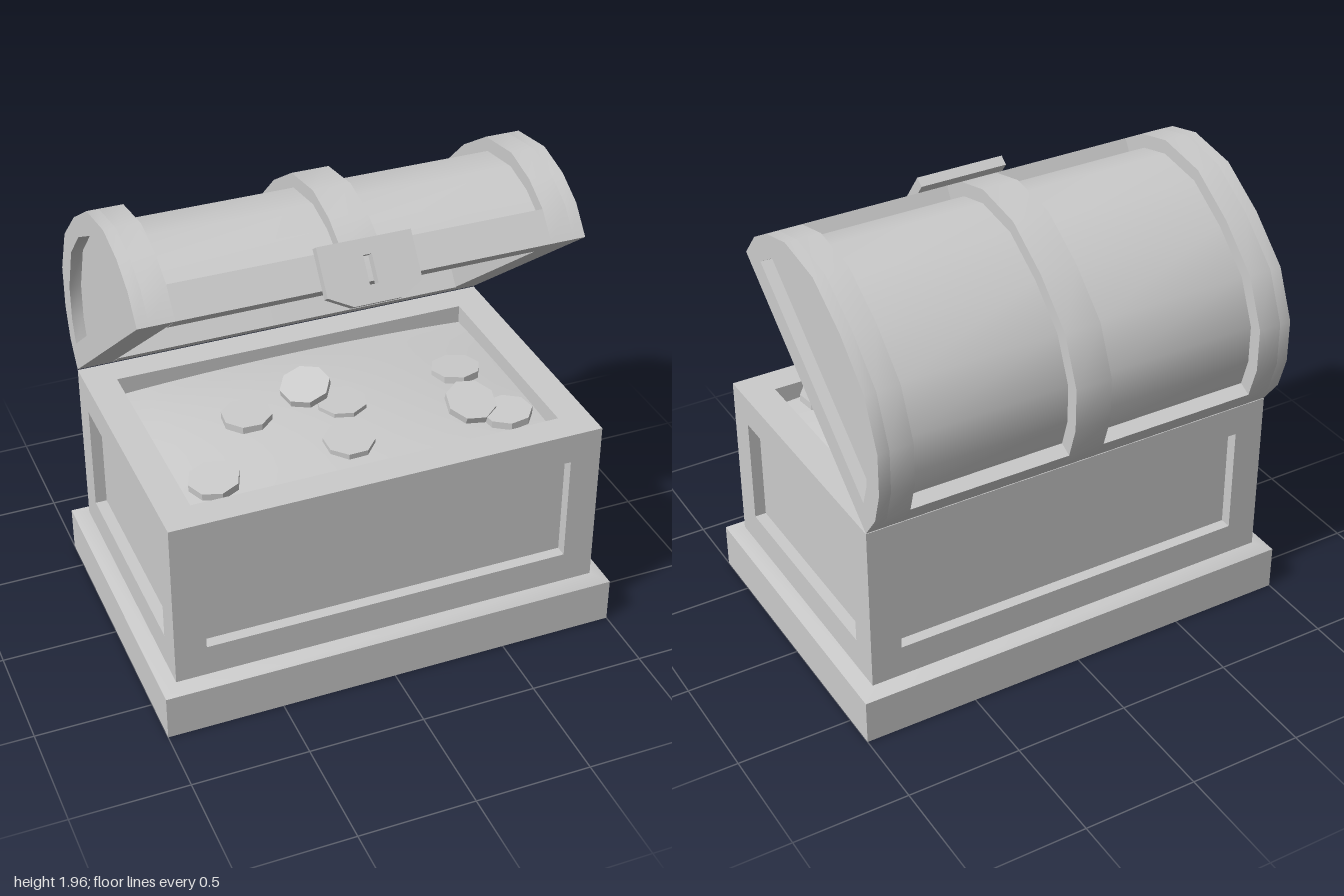
import * as THREE from 'three';
import { toCreasedNormals } from 'three/addons/utils/BufferGeometryUtils.js';

const material = new THREE.MeshStandardMaterial({ color: 0xcccccc });
const CZ = 0.03; // centre of the chest body in z

function add(parent, name, geometry, x = 0, y = 0, z = 0) {
  const mesh = new THREE.Mesh(geometry, material);
  mesh.name = name;
  mesh.position.set(x, y, z);
  parent.add(mesh);
  return mesh;
}

const polygon = (points) => new THREE.Shape(points.map(([x, y]) => new THREE.Vector2(x, y)));
const rect = (x0, y0, x1, y1) => polygon([[x0, y0], [x1, y0], [x1, y1], [x0, y1]]);

// Extrusion centred on its own depth
function slab(shape, depth, hole) {
  if (hole) shape.holes.push(hole);
  return new THREE.ExtrudeGeometry(shape, { depth, bevelEnabled: false }).translate(0, 0, -depth / 2);
}

// Slab of a (z, y) section running along x
const section = (points, width, hole) =>
  toCreasedNormals(slab(polygon(points), width, hole && polygon(hole)).rotateY(-Math.PI / 2), 0.6);

function buildBase(parent) {
  // Plinth with a shallow chamfer round its top
  const g = new THREE.BoxGeometry(2, 0.4, 1.36, 1, 2, 1);
  const p = g.attributes.position;
  for (let i = 0; i < p.count; i++) {
    const y = p.getY(i);
    if (y > 0.1) {
      p.setXYZ(i, Math.sign(p.getX(i)) * 0.935, 0.22, Math.sign(p.getZ(i)) * 0.615);
    } else {
      p.setY(i, y < -0.1 ? 0 : 0.2);
    }
  }
  add(parent, 'plinth', toCreasedNormals(g.toNonIndexed(), 0.6), 0, 0, CZ);
}

function buildBody(parent) {
  const depth = 0.05, y0 = 0.22, y1 = 0.975;
  // Walls around the open inside
  const walls = slab(rect(-0.885, -0.565, 0.885, 0.565), y1 - y0, rect(-0.8, -0.4825, 0.8, 0.4825));
  add(parent, 'walls', walls.rotateX(Math.PI / 2), 0, (y0 + y1) / 2, CZ);
  // Raised frames that leave a sunken panel on every side
  const frame = (w, hole) => slab(rect(-w, y0, w, y1), depth, rect(-hole, 0.36, hole, 0.84));
  for (const s of [1, -1]) {
    add(parent, s > 0 ? 'frontFrame' : 'backFrame', frame(0.935, 0.8), 0, 0, CZ + s * 0.59);
    add(parent, s > 0 ? 'leftFrame' : 'rightFrame', frame(0.565, 0.4825).rotateY(Math.PI / 2), s * 0.91, 0, CZ);
  }
}

const heapHeight = (x, z) =>
  0.885 + 0.08 * Math.cos(x / 0.8 * 1.45) ** 0.7 * Math.cos((z - CZ) / 0.485 * 1.3) ** 0.7;

function buildTreasure(parent) {
  // Low mound filling the chest
  const g = new THREE.PlaneGeometry(1.6, 0.965, 16, 12).rotateX(-Math.PI / 2);
  const p = g.attributes.position;
  for (let i = 0; i < p.count; i++) p.setY(i, heapHeight(p.getX(i), p.getZ(i) + CZ));
  g.computeVertexNormals();
  add(parent, 'treasureHeap', g, 0, 0, CZ);

  // Eight-sided coins: x, y, z, tilt about x, tilt about z
  const coins = [
    [-0.65, 0.95, 0.36, 0.06, 0.08], [-0.38, 0.965, 0, 0, 0.03], [-0.1, 1.01, -0.05, 0.05, 0.25],
    [0.02, 0.965, 0.06, 0, 0], [-0.05, 0.95, 0.31, 0.06, 0], [0.58, 0.95, -0.02, 0, -0.08],
    [0.5, 1.0, 0.3, 0.2, 0.12], [0.63, 0.965, 0.38, 0.06, -0.08],
  ];
  coins.forEach(([x, y, z, rx, rz], i) => {
    const disc = toCreasedNormals(new THREE.CylinderGeometry(0.108, 0.108, 0.032, 8), 0.6);
    add(parent, `coin${i + 1}`, disc, x, y, z).rotation.set(rx, i * 0.3, rz);
  });
}

function buildLid(parent) {
  // Outer arch, sunken barrel and end panel as (z, y), from front lip to hinge
  const arch = [[0.385, 1.735], [0.292, 1.845], [0.166, 1.917], [0, 1.957], [-0.233, 1.922], [-0.44, 1.79],
    [-0.62, 1.622], [-0.71, 1.415], [-0.71, 1.228], [-0.668, 1.088], [-0.585, 0.978]];
  const barrel = [[0.262, 1.795], [0.15, 1.86], [0, 1.896], [-0.212, 1.866], [-0.402, 1.745],
    [-0.567, 1.592], [-0.65, 1.402], [-0.65, 1.238], [-0.614, 1.115]];
  const panel = [[0.248, 1.756], [0.14, 1.822], [0, 1.856], [-0.2, 1.829], [-0.39, 1.725], [-0.533, 1.58],
    [-0.61, 1.373], [-0.61, 1.218], [-0.575, 1.114]];
  // Hollow cut into the underside, from hinge to lip
  const hollow = [[-0.463, 1.071], [-0.572, 1.211], [0.157, 1.78], [0.266, 1.64]];

  const sunken = [...arch.slice(0, 2), ...barrel, ...arch.slice(-2), ...hollow];
  add(parent, 'middleBand', section([...arch, ...hollow], 0.16));
  for (const s of [1, -1]) {
    const side = s > 0 ? 'left' : 'right';
    add(parent, `${side}Barrel`, section(sunken, 0.705), s * 0.4325);
    add(parent, `${side}EndBand`, section(arch, 0.1), s * 0.835);
    add(parent, `${side}EndFrame`, section(arch, 0.05, panel), s * 0.91);
  }

  // Lock plate with keyhole, hanging from the lip
  const plate = polygon([[-0.197, 0], [-0.197, -0.2], [-0.1, -0.252], [0.1, -0.252], [0.197, -0.2], [0.197, 0]]);
  const lock = slab(plate, 0.044, rect(-0.018, -0.18, 0.018, -0.064)).translate(0, 0, -0.022);
  add(parent, 'lockPlate', lock, 0, 1.896, 0.326).rotation.x = -0.645;
}

export function createModel() {
  const model = new THREE.Group();
  model.name = 'treasureChest';
  for (const [name, build] of [['base', buildBase], ['body', buildBody], ['treasure', buildTreasure], ['lid', buildLid]]) {
    const group = new THREE.Group();
    group.name = name;
    build(group);
    model.add(group);
  }
  return model;
}
